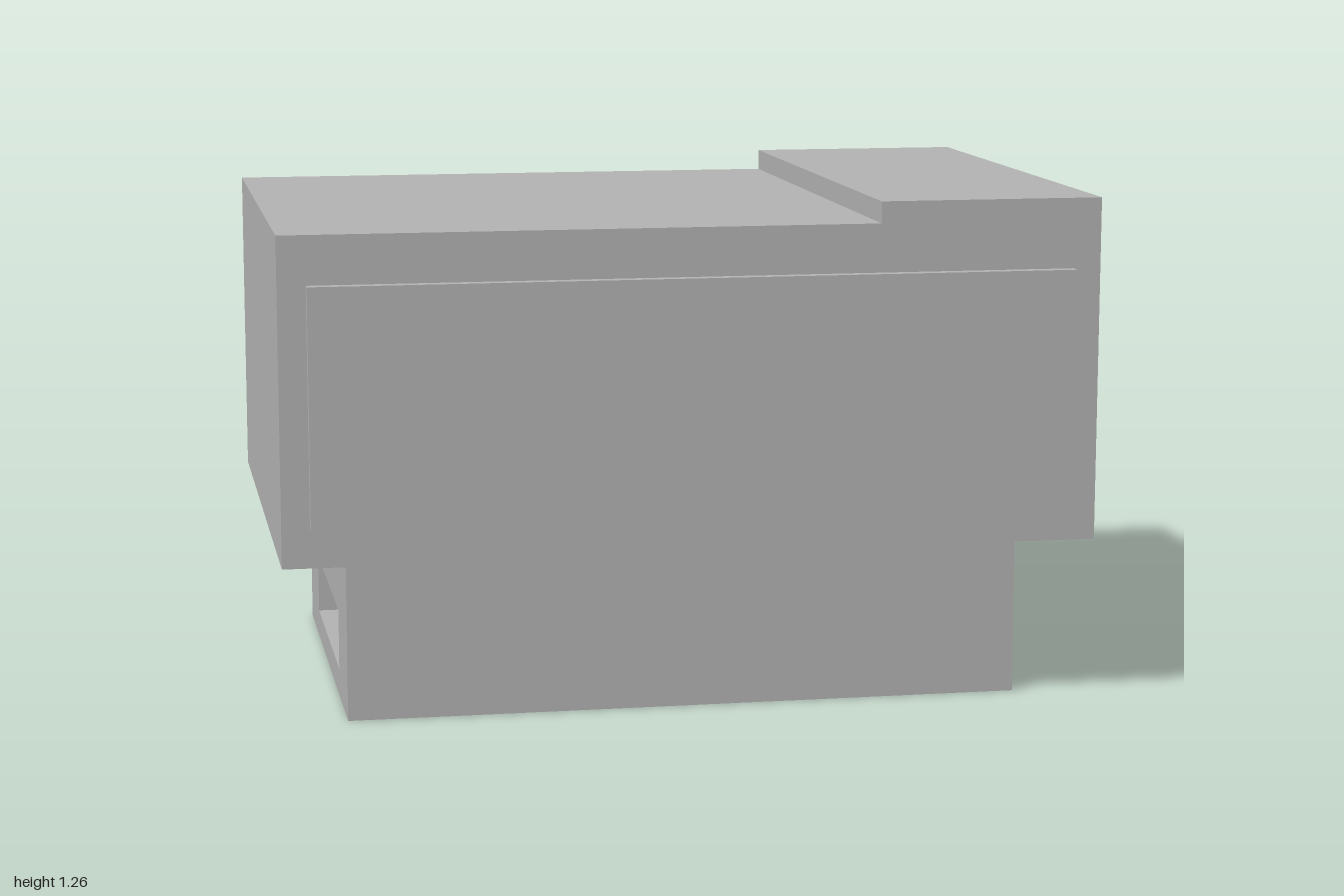
import * as THREE from 'three';

const grey = new THREE.MeshStandardMaterial({ color: 0xb2b2b2 });
grey.name = 'plain grey';

// Rectangle outline as a point list, from corner (x0, y0) to corner (x1, y1)
const rect = (x0, y0, x1, y1) =>
  [[x0, y0], [x1, y0], [x1, y1], [x0, y1]].map(p => new THREE.Vector2(...p));

// Extruded outline with an optional rectangular opening
function extrude(points, depth, hole) {
  const shape = new THREE.Shape(points);
  if (hole) shape.holes.push(new THREE.Path(hole));
  return new THREE.ExtrudeGeometry(shape, { depth, bevelEnabled: false });
}

export function createModel() {
  const model = new THREE.Group();
  model.name = 'model';
  const add = (name, geometry, x = 0, y = 0, z = 0) => {
    const mesh = new THREE.Mesh(geometry, grey);
    mesh.name = name;
    mesh.position.set(x, y, z);
    model.add(mesh);
    return mesh;
  };

  const front = 0.69, back = -0.72;
  const bodyBottom = 0.413, recessTop = 0.47;
  const baseX = 0.838, baseFront = 0.555, baseBack = -0.58;

  // Upper body with the raised step on its left end
  const profile = [[-1, recessTop], [1, recessTop], [1, 1.26], [0.45, 1.26], [0.45, 1.207], [-1, 1.207]]
    .map(p => new THREE.Vector2(...p));
  add('upperBody', extrude(profile, front - back), 0, 0, back);

  // Lower rim of the body, leaving a narrow gap around the base
  const gap = 0.02;
  const rim = extrude(
    rect(-1, -front, 1, -back), recessTop - bodyBottom,
    rect(-baseX - gap, -baseFront - gap, baseX + gap, -baseBack + gap));
  rim.rotateX(-Math.PI / 2);
  add('bodyRim', rim, 0, bodyBottom);

  // Raised front panel
  add('frontPanel', new THREE.BoxGeometry(1.864, 0.578, 0.03), 0, 0.799, front + 0.015);

  // Base: solid core and two ends, each with a hand slot
  const slotDepth = 0.25;
  const baseDepth = baseFront - baseBack, baseZ = (baseFront + baseBack) / 2;
  add('baseCore', new THREE.BoxGeometry(2 * (baseX - slotDepth), recessTop, baseDepth), 0, recessTop / 2, baseZ);
  for (const [name, x] of [['leftBaseEnd', baseX - slotDepth], ['rightBaseEnd', -baseX]]) {
    const end = extrude(
      rect(-baseFront, 0, -baseBack, recessTop), slotDepth,
      rect(-0.312, 0.07, 0.336, 0.221));
    end.rotateY(Math.PI / 2);
    add(name, end, x);
  }

  return model;
}
